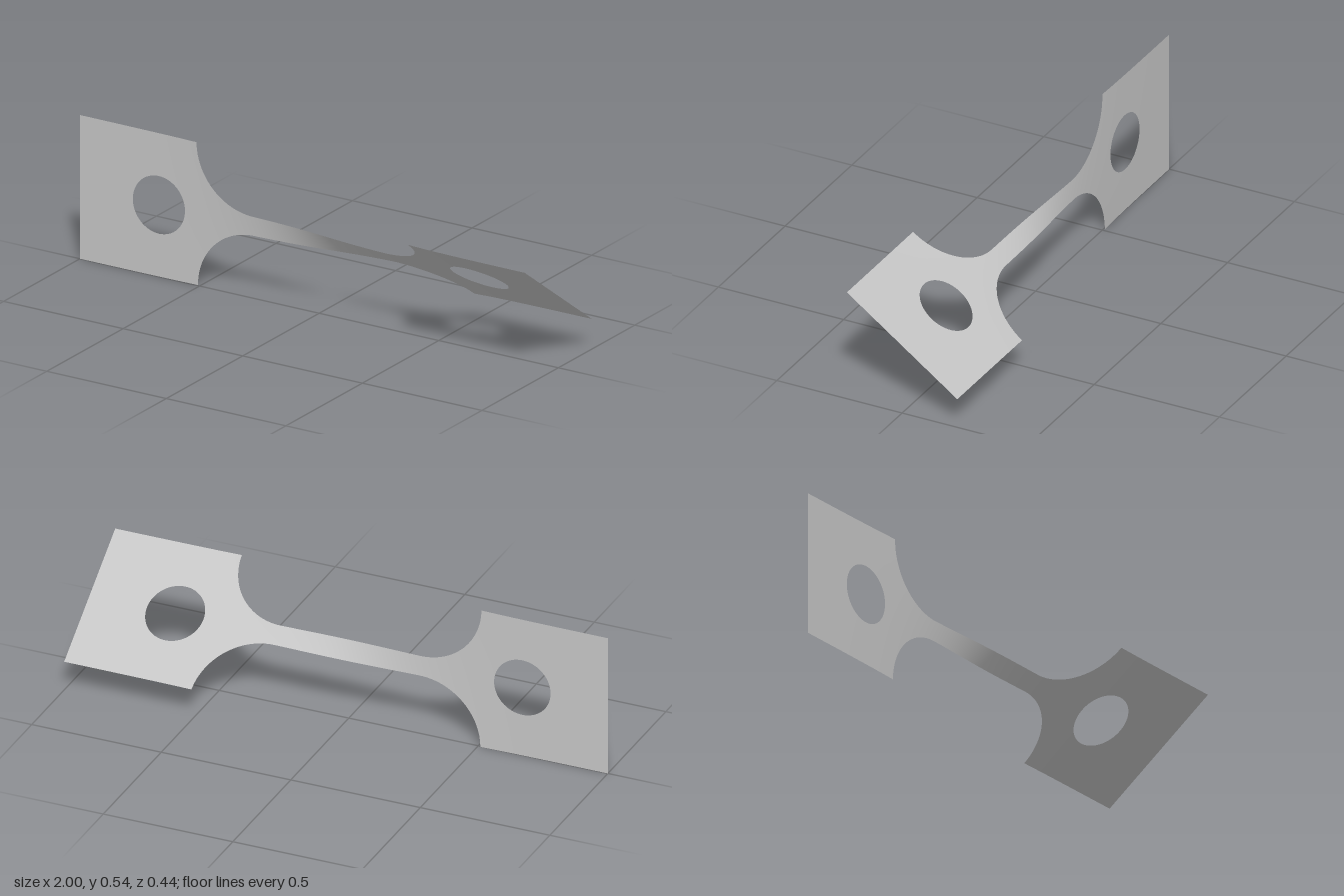
import * as THREE from 'three';

const HALF = 0.271;          // half width of the grips
const NECK = 0.0375;         // half width of the neck
const GRIP = 0.51;           // x where grip meets fillet
const FILLET = 0.235;        // fillet radius
const HOLE_X = 0.67, HOLE_R = 0.109;
const TWIST = THREE.MathUtils.degToRad(54.4);
const SPREAD = 0.26;         // how sharply the twist gathers in the middle

const steel = new THREE.MeshStandardMaterial({ color: 0xc6c6c6, side: THREE.DoubleSide });
steel.name = 'plain grey';

// Half width of the outline and half height of the hole at station x
function outer(x) {
  const d = Math.abs(x);
  if (d >= GRIP - 1e-6) return HALF;
  const u = Math.max(0, d - (GRIP - FILLET));
  return NECK + FILLET - Math.sqrt(Math.max(0, FILLET * FILLET - u * u));
}
function inner(x) {
  const u = Math.abs(x) - HOLE_X;
  return Math.sqrt(Math.max(0, HOLE_R * HOLE_R - u * u));
}

// Twisted sheet over the given x stations, as an upper and a lower band
function twistedSheet(name, stations, rows) {
  const pos = [], nor = [], idx = [];
  for (const side of [-1, 1]) {
    const base = pos.length / 3;
    stations.forEach((x, i) => {
      const th = Math.tanh(x / SPREAD);
      const a = TWIST * (0.5 + 0.5 * th);
      const rate = TWIST * 0.5 * (1 - th * th) / SPREAD;
      const c = Math.cos(a), s = Math.sin(a);
      for (let j = 0; j <= rows; j++) {
        const t = side > 0 ? j / rows : 1 - j / rows;
        const v = side * THREE.MathUtils.lerp(inner(x), outer(x), t);
        pos.push(x, HALF + v * c, v * s);
        const n = new THREE.Vector3(-v * rate, -s, c).normalize();
        nor.push(n.x, n.y, n.z);
        if (i < stations.length - 1 && j < rows) {
          const p = base + i * (rows + 1) + j, q = p + rows + 1;
          idx.push(p, q, q + 1, p, q + 1, p + 1);
        }
      }
    });
  }
  const geo = new THREE.BufferGeometry();
  geo.setAttribute('position', new THREE.Float32BufferAttribute(pos, 3));
  geo.setAttribute('normal', new THREE.Float32BufferAttribute(nor, 3));
  geo.setIndex(idx);
  const mesh = new THREE.Mesh(geo, steel);
  mesh.name = name;
  return mesh;
}

const steps = (n, f) => Array.from({ length: n + 1 }, (_, i) => f(i / n));
const mirror = (xs) => xs.map((x) => -x).reverse();

export function createModel() {
  const group = new THREE.Group();
  group.name = 'twistedTestStrip';

  // Stations follow the arcs evenly by angle so the curves stay round
  const grip = [
    GRIP,
    ...steps(32, (t) => HOLE_X - HOLE_R * Math.cos(Math.PI * t)),
    ...steps(4, (t) => THREE.MathUtils.lerp(HOLE_X + HOLE_R + 0.03, 1, t)),
  ];
  const fillet = steps(24, (t) => GRIP - FILLET + FILLET * Math.sin(t * Math.PI / 2));
  const neck = steps(40, (t) => (GRIP - FILLET) * (2 * t - 1));

  group.add(
    twistedSheet('rightGrip', mirror(grip), 4),
    twistedSheet('rightFillet', mirror(fillet), 6),
    twistedSheet('neck', neck, 3),
    twistedSheet('leftFillet', fillet, 6),
    twistedSheet('leftGrip', grip, 4),
  );
  return group;
}
